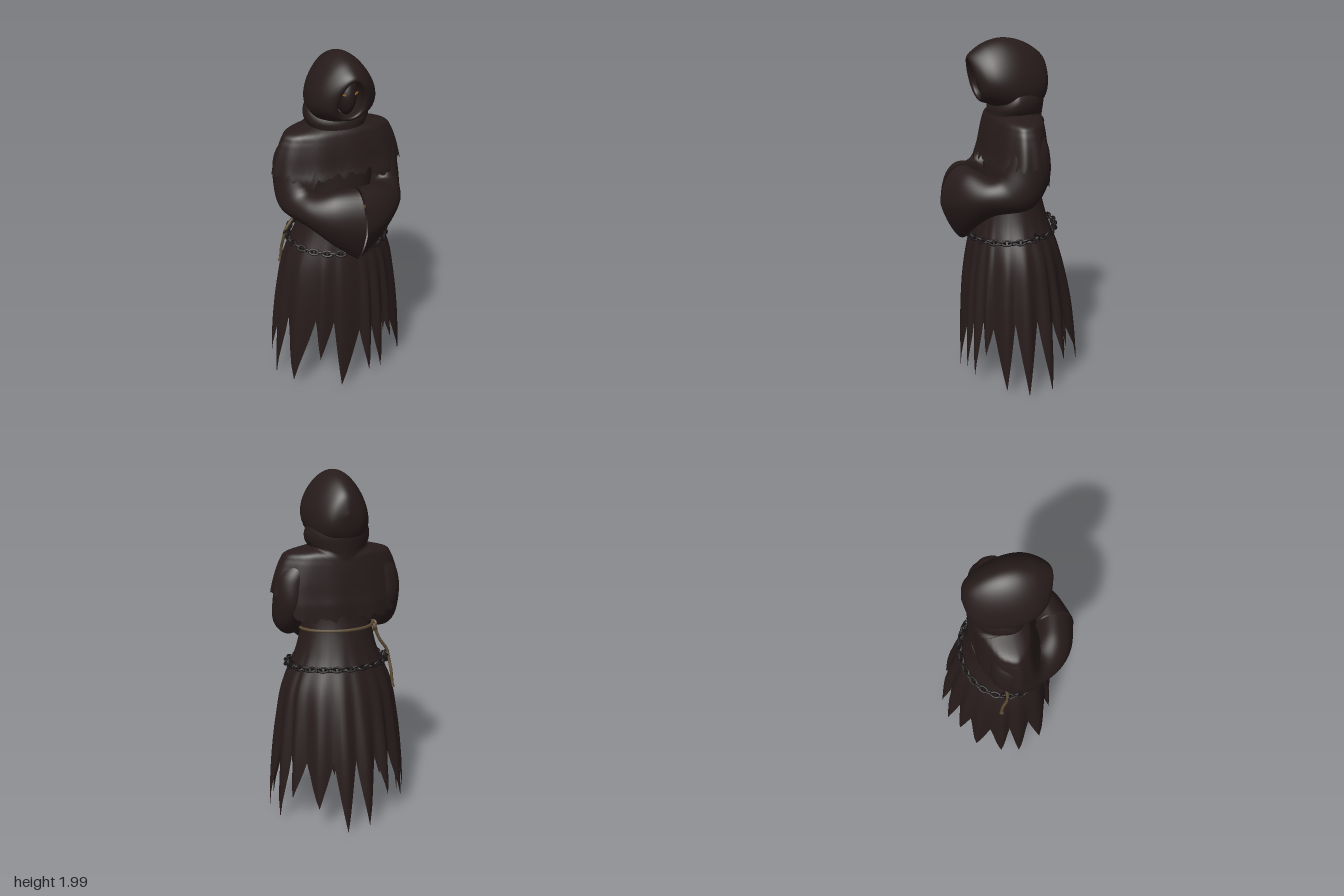
import * as THREE from 'three';
import { mergeVertices } from 'three/addons/utils/BufferGeometryUtils.js';

const TAU = Math.PI * 2;
const mat = (name, color) => {
  const m = new THREE.MeshStandardMaterial({ color, side: THREE.DoubleSide });
  m.name = name;
  return m;
};

// Grid surface from a rule f(u, v) -> [x, y, z]; merged seams keep it smooth
function surface(f, nu, nv) {
  const pos = [], idx = [];
  for (let j = 0; j <= nv; j++)
    for (let i = 0; i <= nu; i++) pos.push(...f((i % nu) / nu, j / nv));
  for (let j = 0; j < nv; j++)
    for (let i = 0; i < nu; i++) {
      const a = j * (nu + 1) + i, b = a + nu + 1;
      idx.push(a, b, a + 1, b, b + 1, a + 1);
    }
  let g = new THREE.BufferGeometry();
  g.setAttribute('position', new THREE.Float32BufferAttribute(pos, 3));
  g.setIndex(idx);
  g = mergeVertices(g, 1e-5);
  g.computeVertexNormals();
  return g;
}

// Smooth interpolation through the rows of a table, t counted in rows
function sample(rows, t) {
  const n = rows.length - 1;
  t = Math.min(Math.max(t, 0), n);
  const i = Math.min(Math.floor(t), n - 1), f = t - i;
  const [a, b, c, d] = [rows[Math.max(i - 1, 0)], rows[i], rows[i + 1], rows[Math.min(i + 2, n)]];
  return b.map((p, k) => p + 0.5 * f * (c[k] - a[k]
    + f * (2 * a[k] - 5 * p + 4 * c[k] - d[k] + f * (3 * (p - c[k]) + d[k] - a[k]))));
}

// Point on an oval with different front and back depths
const oval = (a, y, [rx, front, back], grow = 1) => [
  rx * Math.sin(a) * grow, y, Math.cos(a) * (Math.cos(a) > 0 ? front : back) * grow];

// Robe oval [half width, front, back], every 0.2 from y = 1.6 down to 0
const ROBE = [
  [0.16, 0.10, 0.13], [0.23, 0.13, 0.155], [0.20, 0.155, 0.16], [0.235, 0.20, 0.205], [0.318, 0.245, 0.275],
  [0.352, 0.272, 0.325], [0.372, 0.282, 0.36], [0.385, 0.285, 0.38], [0.39, 0.285, 0.395]];
const robeAt = (y) => sample(ROBE, (1.6 - y) / 0.2);
// Torn hem from the front towards +x: [point degrees, point y, next slit degrees, slit y]
const TEETH = [
  [12, 0.09, 18, 0.38], [24.5, 0.08, 33, 0.43], [39, 0.24, 46, 0.4], [62, 0.05, 72, 0.45], [86, 0.02, 97, 0.46],
  [108, 0.02, 116, 0.42], [123, 0.18, 134, 0.4], [148, 0.15, 160, 0.42], [171, 0.01, 180.5, 0.42],
  [190, 0.03, 201, 0.44], [210, 0.18, 219, 0.42], [230, 0.12, 242, 0.4], [254, 0.08, 262, 0.43],
  [271, 0.01, 286, 0.45], [302, 0.05, 321, 0.47], [328, 0.22, 339, 0.46], [347, 0.02, 364.5, 0.38]];

function robeGeometry() {
  const n = TEETH.length, lerp = THREE.MathUtils.lerp;
  return surface((u, v) => {
    const k = Math.floor(u * n + 1e-6), f = u * n - k;
    const [tip, tipY, slit, slitY] = TEETH[k];
    const [, , before, beforeY] = k ? TEETH[k - 1] : [0, 0, 4.5, 0.38];
    const t = f < 0.5 ? 2 * f : 2 * f - 1;
    const a = (f < 0.5 ? lerp(before, tip, t) : lerp(tip, slit, t)) * TAU / 360;
    const hem = f < 0.5 ? lerp(beforeY, tipY, t) : lerp(tipY, slitY, t);
    const y = lerp(1.5, hem, v);
    const pleat = THREE.MathUtils.smoothstep(1.15 - y, 0, 0.9);
    return oval(a, y, robeAt(y), 1 - 0.045 * pleat * Math.cos(TAU * f) + 0.012 * pleat * Math.sin(5 * a));
  }, n * 8, 64);
}

// Shoulder cape oval, every 0.04 from y = 1.61 down
const CAPE = [[0.13, 0.08, 0.13], [0.285, 0.115, 0.16], [0.322, 0.13, 0.168], [0.34, 0.14, 0.172],
  [0.354, 0.148, 0.175], [0.365, 0.155, 0.178], [0.374, 0.165, 0.18], [0.38, 0.18, 0.183], [0.38, 0.185, 0.188]];
const capeAt = (y) => sample(CAPE, (1.61 - y) / 0.04);
function capeGeometry() {
  return surface((u, v) => {
    const a = u * TAU, c = Math.cos(a), x = Math.abs(Math.sin(a)) * 0.38;
    const torn = 0.014 * Math.sin(a * 23) + 0.012 * Math.sin(a * 37 + 1);
    const dip = c > 0 ? 0.06 * Math.exp(-(((x - 0.22) / 0.05) ** 2)) : 0;
    const hem = 1.345 - dip - 0.135 * THREE.MathUtils.smoothstep(-c, 0.3, 0.8) + torn * Math.min(1, Math.abs(c) * 2);
    const y = 1.61 + (hem - 1.61) * Math.pow(v, 1.5);
    return oval(a, y, capeAt(y), 1 + 0.015 * v * Math.sin(11 * a));
  }, 120, 36);
}

// Cowl below the hood, with a pointed flap lying on the back of the cape
const COWL = [[0.15, 0.04, 0.16], [0.174, 0.07, 0.183], [0.184, 0.1, 0.186], [0.179, 0.122, 0.178], [0.16, 0.125, 0.172]];
function cowlGeometry() {
  return surface((u, v) => {
    const a = u * TAU, back = Math.cos(a) < 0 ? 1 - Math.abs(Math.sin(a)) : 0;
    const y = 1.74 - 0.15 * v - 0.13 * back * v ** 3;
    const p = oval(a, y, sample(COWL, v * 4));
    if (back > 0 && y < 1.6) {
      const [rx, , depth] = capeAt(y);
      p[2] = Math.min(p[2], -depth * Math.sqrt(Math.max(0, 1 - (p[0] / rx) ** 2)) - 0.008);
    }
    return p;
  }, 64, 28);
}

// Hood rings from back to rim and into the dark opening: [z, half width, top, bottom, tilt]
const HOOD = [
  [-0.214, 0, 1.79, 1.79, 0], [-0.19, 0.085, 1.885, 1.67, 0], [-0.12, 0.14, 1.95, 1.6, 0],
  [-0.03, 0.168, 1.99, 1.59, 0], [0.05, 0.176, 2.0, 1.6, 0.05], [0.12, 0.167, 1.98, 1.63, 0.13],
  [0.175, 0.142, 1.945, 1.65, 0.2], [0.21, 0.108, 1.915, 1.66, 0.25], [0.216, 0.08, 1.895, 1.672, 0.28],
  [0.195, 0.07, 1.89, 1.68, 0.27], [0.12, 0.078, 1.895, 1.68, 0.2], [0.04, 0.078, 1.88, 1.69, 0.1],
  [0.01, 0, 1.79, 1.79, 0]];
function hoodGeometry() {
  return surface((u, v) => {
    const [z, w, top, bottom, tilt] = sample(HOOD, v * (HOOD.length - 1));
    const a = u * TAU, y = (top + bottom) / 2 + (top - bottom) / 2 * Math.cos(a);
    return [w * Math.sin(a) * (1 - 0.26 * Math.cos(a)), y, z + tilt * (y - 1.8)];
  }, 56, 72);
}

// Face: an egg that narrows towards the jaw
function faceGeometry() {
  return surface((u, v) => {
    const a = u * TAU, h = Math.cos(v * Math.PI), r = Math.sin(v * Math.PI);
    return [0.058 * r * Math.sin(a) * (1 + 0.3 * h), 1.78 + 0.103 * h, 0.112 + 0.08 * r * Math.cos(a)];
  }, 32, 24);
}

// Sleeve sections: centre, outward half axis, forward/up half axis
const SLEEVE = [
  [0.20, 1.52, -0.02, 0.06, 0.03, 0, 0, 0, 0.09],
  [0.26, 1.42, -0.02, 0.09, 0.02, 0, 0, 0, 0.11],
  [0.268, 1.29, 0.0, 0.1, 0, -0.01, 0, 0.03, 0.125],
  [0.266, 1.2, 0.06, 0.09, -0.03, 0, 0, 0.085, 0.085],
  [0.205, 1.165, 0.17, 0.078, 0, 0.07, 0, 0.105, 0.01],
  [0.115, 1.135, 0.25, 0.05, 0, 0.1, 0, 0.165, 0],
  [0.005, 1.095, 0.284, 0, 0, 0.126, 0, 0.215, 0]];
function sleeveGeometry(side) {
  return surface((u, v) => {
    const p = sample(SLEEVE, v * 6), a = u * TAU * side;
    const s = Math.sin(a), c = Math.cos(a) * (1 + 0.4 * v * v * Math.min(0, s));
    const q = [0, 1, 2].map((i) => p[i] + p[3 + i] * c + p[6 + i] * s);
    return [side * q[0], q[1], q[2]];
  }, 40, 48);
}

export function createModel() {
  const root = new THREE.Group();
  root.name = 'hoodedFigure';
  const cloth = mat('dark cloth', 0x271b1b);
  const shade = mat('face shade', 0x231919);
  const iron = mat('blackened iron', 0x1a1516);
  const hemp = mat('hemp rope', 0x5a4a34);
  const glow = mat('eye amber', 0x94661e);
  const add = (name, geo, material, parent = root) => {
    const m = new THREE.Mesh(geo, material);
    m.name = name;
    parent.add(m);
    return m;
  };

  // Clothing
  add('robe', robeGeometry(), cloth);
  add('shoulderCape', capeGeometry(), cloth);
  add('cowl', cowlGeometry(), cloth);
  add('hood', hoodGeometry(), cloth);
  add('leftSleeve', sleeveGeometry(1), cloth);
  add('rightSleeve', sleeveGeometry(-1), cloth);

  // Face inside the hood with slit eyes
  add('face', faceGeometry(), shade);
  for (const s of [1, -1]) {
    const eye = add(s > 0 ? 'leftEye' : 'rightEye', new THREE.BoxGeometry(0.026, 0.008, 0.009), glow);
    eye.position.set(s * 0.036, 1.808, 0.176);
    eye.rotation.set(0, s * 0.6, s * 0.15);
  }

  // Rope belt with knot and hanging end
  const V = (p) => new THREE.Vector3(...p);
  const loop = (f) => new THREE.CatmullRomCurve3(
    Array.from({ length: 32 }, (_, i) => V(f(i / 32 * TAU))), true);
  const belt = loop((a) => {
    const y = 1.13 - 0.01 * Math.cos(a);
    return oval(a, y, robeAt(y).map((r) => r + 0.007));
  });
  add('ropeBelt', new THREE.TubeGeometry(belt, 96, 0.009, 8, true), hemp);
  const knot = add('ropeKnot', new THREE.TorusKnotGeometry(0.02, 0.009, 48, 8), hemp);
  knot.position.set(-0.215, 1.11, -0.04);
  knot.rotation.y = Math.PI / 2;
  const tail = new THREE.CatmullRomCurve3([[-0.217, 1.11, -0.04], [-0.25, 1.03, -0.05], [-0.297, 0.96, -0.05],
    [-0.308, 0.9, -0.06], [-0.314, 0.84, -0.08], [-0.318, 0.77, -0.09]].map(V));
  add('ropeEnd', new THREE.TubeGeometry(tail, 32, 0.009, 8), hemp);
  const tuft = add('ropeTuft', new THREE.ConeGeometry(0.015, 0.05, 8), hemp);
  tuft.position.set(-0.32, 0.765, -0.09);

  // Chain of alternating links around the hips
  const chain = new THREE.Group();
  chain.name = 'hipChain';
  root.add(chain);
  const path = loop((a) => oval(a, 0.92 - 0.02 * Math.cos(a), [0.29, 0.246, 0.252]));
  const linkGeo = new THREE.TorusGeometry(0.016, 0.006, 8, 16).scale(1.6, 1, 1);
  const count = 44, tangentAxis = new THREE.Vector3(1, 0, 0);
  for (let i = 0; i < count; i++) {
    const link = add('chainLink', linkGeo, iron, chain);
    link.position.copy(path.getPointAt(i / count));
    link.quaternion.setFromUnitVectors(tangentAxis, path.getTangentAt(i / count).normalize());
    link.rotateX(i % 2 ? Math.PI / 4 : -Math.PI / 4);
  }
  // Loose link where the chain is fastened at each side
  for (const s of [1, -1]) {
    const ring = add('looseLink', linkGeo, iron, chain);
    ring.position.set(s * 0.285, 0.94, -0.06);
    ring.rotation.set(0.4, 0.4, s * 0.7);
  }
  return root;
}
